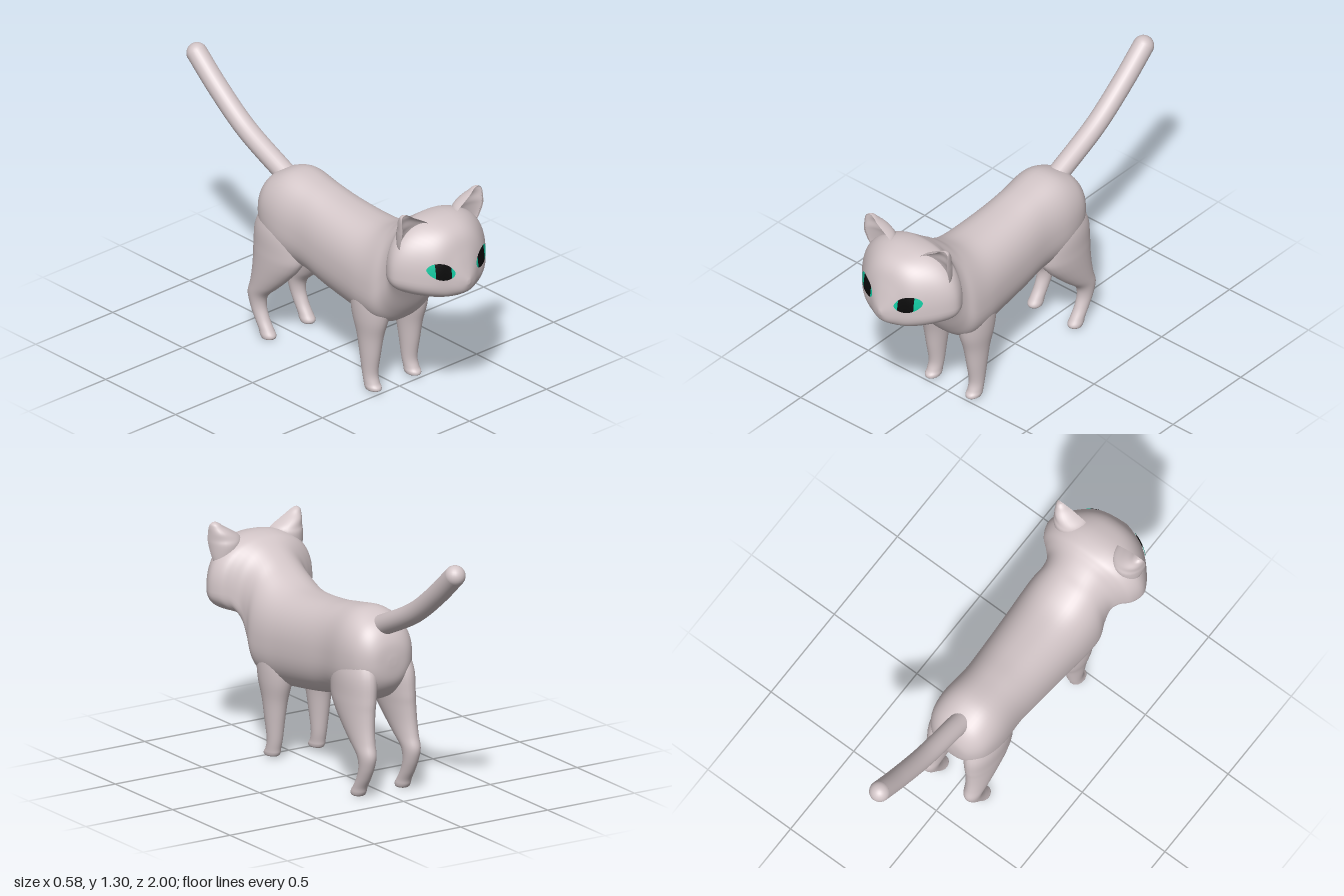
import * as THREE from 'three';

const fur = new THREE.MeshStandardMaterial({ color: 0xd3c6c8 });
fur.name = 'paleFur';
const teal = new THREE.MeshStandardMaterial({ color: 0x10c8a0, side: THREE.DoubleSide });
teal.name = 'tealIris';
const black = new THREE.MeshStandardMaterial({ color: 0x0a0a0a, side: THREE.DoubleSide });
black.name = 'blackPupil';

// Catmull-Rom interpolation between rows of section numbers
function refine(rows, steps) {
  const out = [];
  for (let i = 0; i < rows.length - 1; i++) {
    const p0 = rows[Math.max(i - 1, 0)], p1 = rows[i], p2 = rows[i + 1];
    const p3 = rows[Math.min(i + 2, rows.length - 1)];
    for (let k = 0; k < steps; k++) {
      const t = k / steps;
      out.push(p1.map((b, j) => {
        const a = p0[j], c = p2[j], d = p3[j];
        return b + 0.5 * t * (c - a + t * (2 * a - 5 * b + 4 * c - d + t * (3 * (b - c) + d - a)));
      }));
    }
  }
  out.push(rows[rows.length - 1]);
  return out;
}

// Smooth closed skin through rings; ring(section, angle) gives a point
function loft(name, rows, ring, n = 32, steps = 5) {
  const secs = refine(rows, steps), pos = [], idx = [];
  for (const s of secs) {
    for (let j = 0; j < n; j++) pos.push(...ring(s, (j / n) * Math.PI * 2));
  }
  for (let i = 0; i < secs.length - 1; i++) {
    for (let j = 0; j < n; j++) {
      const a = i * n + j, b = i * n + (j + 1) % n;
      idx.push(a, b, b + n, a, b + n, a + n);
    }
  }
  const last = (secs.length - 1) * n;
  for (let j = 1; j < n - 1; j++) {
    idx.push(0, j + 1, j, last, last + j, last + j + 1);
  }
  const g = new THREE.BufferGeometry();
  g.setAttribute('position', new THREE.Float32BufferAttribute(pos, 3));
  g.setIndex(idx);
  g.computeVertexNormals();
  const m = new THREE.Mesh(g, fur);
  m.name = name;
  return m;
}

const soft = (v, p) => Math.sign(v) * Math.abs(v) ** p;

export function createModel() {
  const model = new THREE.Group();
  model.name = 'cat';

  // Body, neck and head: z, bottom, widest height, top, half width
  const body = loft('bodyAndHead', [
    [-0.405, 0.66, 0.68, 0.70, 0.02],
    [-0.395, 0.58, 0.68, 0.77, 0.09],
    [-0.36, 0.52, 0.68, 0.835, 0.14],
    [-0.30, 0.47, 0.68, 0.88, 0.172],
    [-0.20, 0.44, 0.66, 0.91, 0.185],
    [-0.05, 0.435, 0.64, 0.888, 0.176],
    [0.10, 0.40, 0.62, 0.862, 0.185],
    [0.30, 0.37, 0.60, 0.846, 0.20],
    [0.42, 0.36, 0.58, 0.858, 0.21],
    [0.52, 0.375, 0.58, 0.905, 0.211],
    [0.58, 0.45, 0.64, 0.95, 0.194],
    [0.63, 0.56, 0.72, 0.985, 0.195],
    [0.665, 0.635, 0.77, 1.01, 0.228],
    [0.70, 0.652, 0.78, 1.03, 0.268],
    [0.76, 0.652, 0.78, 1.04, 0.289],
    [0.82, 0.65, 0.78, 1.034, 0.264],
    [0.885, 0.654, 0.77, 1.01, 0.21],
    [0.93, 0.664, 0.765, 0.965, 0.158],
    [0.96, 0.678, 0.757, 0.89, 0.098],
    [0.985, 0.70, 0.752, 0.81, 0.05],
    [1.0, 0.74, 0.75, 0.762, 0.008],
  ], ([z, yb, yc, yt, w], t) => {
    const s = soft(Math.sin(t), 2 / 2.3);
    return [w * soft(Math.cos(t), 2 / 2.3), yc + s * (s > 0 ? yt - yc : yc - yb), z];
  }, 56, 5);
  model.add(body);

  // Legs: y, x centre, x radius, z centre, z radius, from hip to toe
  const frontLeg = [
    [0.62, 0.115, 0.075, 0.43, 0.10],
    [0.50, 0.12, 0.08, 0.43, 0.12],
    [0.40, 0.125, 0.072, 0.43, 0.107],
    [0.30, 0.126, 0.057, 0.43, 0.077],
    [0.20, 0.127, 0.047, 0.43, 0.058],
    [0.10, 0.127, 0.038, 0.43, 0.042],
    [0.05, 0.128, 0.036, 0.441, 0.042],
    [0.028, 0.128, 0.037, 0.451, 0.048],
    [0.013, 0.128, 0.031, 0.455, 0.041],
    [0.009, 0.128, 0.008, 0.455, 0.01],
  ];
  const hindLeg = [
    [0.76, 0.09, 0.05, -0.24, 0.08],
    [0.62, 0.105, 0.078, -0.235, 0.155],
    [0.50, 0.112, 0.076, -0.235, 0.166],
    [0.43, 0.117, 0.07, -0.25, 0.15],
    [0.35, 0.122, 0.06, -0.288, 0.116],
    [0.28, 0.125, 0.051, -0.33, 0.085],
    [0.22, 0.127, 0.043, -0.37, 0.06],
    [0.16, 0.127, 0.037, -0.37, 0.045],
    [0.10, 0.127, 0.034, -0.346, 0.04],
    [0.05, 0.127, 0.034, -0.315, 0.04],
    [0.022, 0.127, 0.036, -0.30, 0.044],
    [0.005, 0.127, 0.03, -0.296, 0.034],
    [0.0, 0.127, 0.008, -0.296, 0.01],
  ];
  // Ears: y, x centre, half width, z of the front rim, depth
  const ear = [
    [0.88, 0.18, 0.06, 0.76, 0.03],
    [0.94, 0.18, 0.075, 0.785, 0.07],
    [1.00, 0.178, 0.084, 0.805, 0.095],
    [1.03, 0.18, 0.083, 0.81, 0.09],
    [1.06, 0.202, 0.06, 0.808, 0.075],
    [1.085, 0.222, 0.039, 0.805, 0.05],
    [1.103, 0.232, 0.024, 0.80, 0.03],
    [1.112, 0.235, 0.008, 0.798, 0.012],
  ];

  // Eye strips are laid on the face by casting rays back at the head
  body.updateMatrixWorld(true);
  const caster = new THREE.Raycaster();
  const back = new THREE.Vector3(0, 0, -1);
  function eyeStrip(name, side, u0, u1, material) {
    const g = new THREE.PlaneGeometry(1, 1, 10, 10), p = g.attributes.position;
    for (let i = 0; i < p.count; i++) {
      const u = u0 + (u1 - u0) * (p.getX(i) + 0.5);
      const h = 0.043 * Math.max(0, 1 - u * u) ** 0.6;
      const x = side * (0.13 + 0.062 * u), y = 0.827 + 0.014 * u + 2 * h * p.getY(i);
      caster.set(new THREE.Vector3(x, y, 2), back);
      const hit = caster.intersectObject(body)[0];
      p.setXYZ(i, x, y, (hit ? hit.point.z : 0.92) + 0.006);
    }
    g.computeVertexNormals();
    const m = new THREE.Mesh(g, material);
    m.name = name;
    model.add(m);
  }

  for (const side of [1, -1]) {
    const label = side > 0 ? 'left' : 'right';
    const legRing = ([y, x, rx, z, rz], t) => [side * x + rx * Math.cos(t), y, z + rz * Math.sin(t)];
    model.add(loft(label + 'FrontLeg', frontLeg, legRing, 28));
    model.add(loft(label + 'HindLeg', hindLeg, legRing, 28));
    // Crescent section: rounded back, hollow front
    model.add(loft(label + 'Ear', ear, ([y, x, w, z, d], t) =>
      [side * x + w * Math.cos(t), y, z - d * Math.abs(Math.sin(t)) * (Math.sin(t) > 0 ? 1 : 0.45)], 28));
    eyeStrip(label + 'IrisInner', side, -1, -0.72, teal);
    eyeStrip(label + 'Pupil', side, -0.72, 0.44, black);
    eyeStrip(label + 'IrisOuter', side, 0.44, 1, teal);
  }

  // Tail with a rounded tip
  const path = new THREE.CatmullRomCurve3([
    [0.82, -0.27], [0.86, -0.36], [0.977, -0.6], [1.122, -0.8], [1.25, -0.948],
  ].map(([y, z]) => new THREE.Vector3(0, y, z)));
  const tail = new THREE.Mesh(new THREE.TubeGeometry(path, 40, 0.052, 24), fur);
  tail.name = 'tail';
  const tip = new THREE.Mesh(new THREE.SphereGeometry(0.052, 24, 16), fur);
  tip.position.set(0, 1.25, -0.948);
  tip.name = 'tailTip';
  model.add(tail, tip);

  return model;
}
